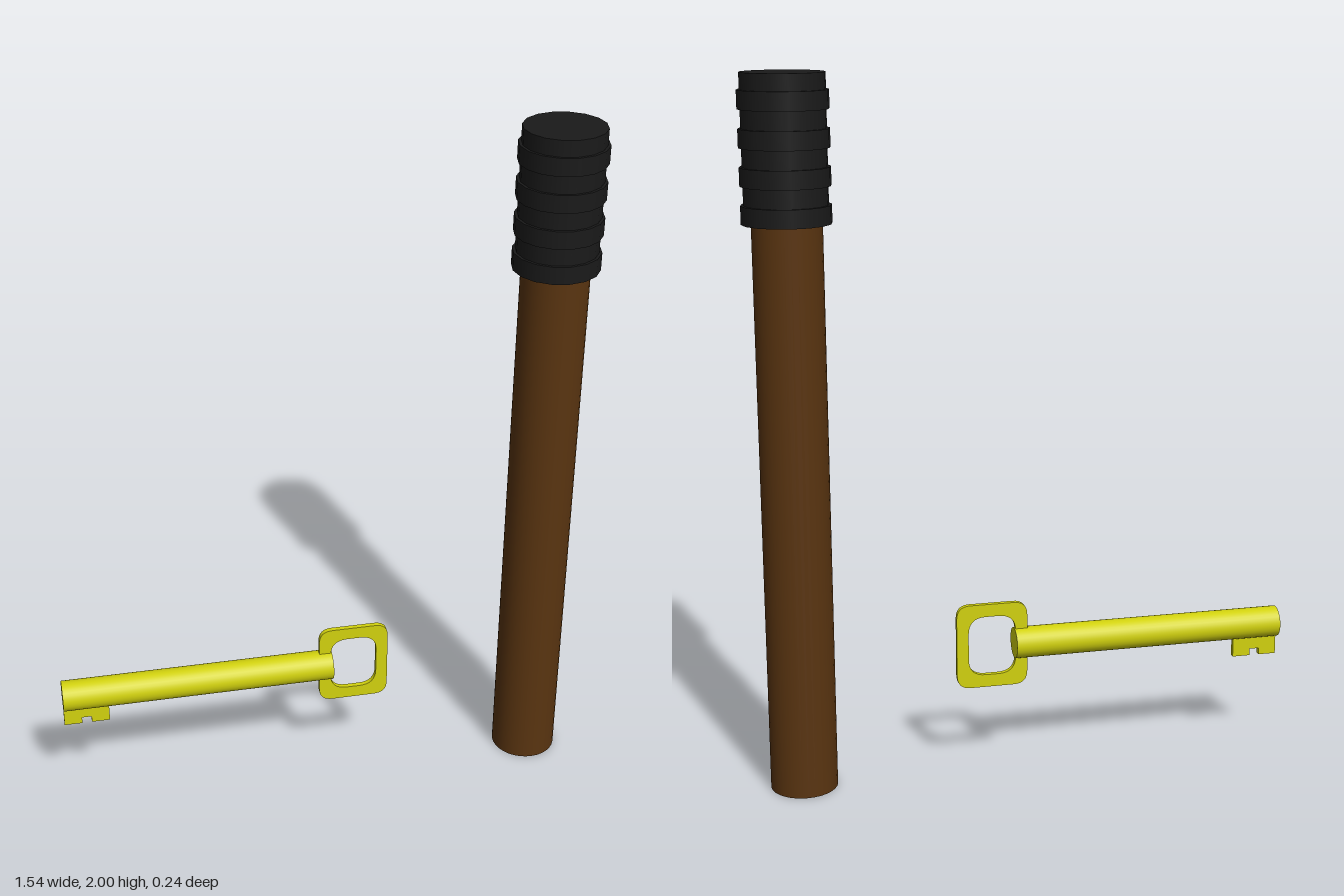
import * as THREE from 'three';

const brown = new THREE.MeshStandardMaterial({ color: 0x593410 });
const black = new THREE.MeshStandardMaterial({ color: 0x1a1a1a });
const yellow = new THREE.MeshStandardMaterial({ color: 0xd2d20e });

function add(parent, name, geometry, material, x = 0, y = 0, z = 0) {
  const mesh = new THREE.Mesh(geometry, material);
  mesh.name = name;
  mesh.position.set(x, y, z);
  parent.add(mesh);
  return mesh;
}

// Rounded rectangle outline centred on the origin
function roundedRect(Type, w, h, r) {
  const p = new Type();
  const x = w / 2, y = h / 2;
  p.moveTo(-x + r, -y);
  p.lineTo(x - r, -y);
  p.quadraticCurveTo(x, -y, x, -y + r);
  p.lineTo(x, y - r);
  p.quadraticCurveTo(x, y, x - r, y);
  p.lineTo(-x + r, y);
  p.quadraticCurveTo(-x, y, -x, y - r);
  p.lineTo(-x, -y + r);
  p.quadraticCurveTo(-x, -y, -x + r, -y);
  return p;
}

// Flat plate centred on z = 0
function plate(shape, depth) {
  return new THREE.ExtrudeGeometry(shape, { depth, bevelEnabled: false, curveSegments: 8 })
    .translate(0, 0, -depth / 2);
}

function createBaton() {
  const baton = new THREE.Group();
  baton.name = 'baton';
  baton.position.x = 0.645;
  add(baton, 'stick', new THREE.CylinderGeometry(0.095, 0.095, 1.64, 32), brown, 0, 0.82);
  add(baton, 'grip', new THREE.CylinderGeometry(0.113, 0.113, 0.394, 16), black, 0, 1.803);
  // Raised rings around the grip
  for (let i = 0; i < 4; i++) {
    add(baton, 'gripRing', new THREE.CylinderGeometry(0.121, 0.121, 0.05, 16), black, 0, 1.63 + i * 0.1);
  }
  return baton;
}

function createKey() {
  const key = new THREE.Group();
  key.name = 'key';
  key.position.y = 0.375;
  const shaft = add(key, 'keyShaft', new THREE.CylinderGeometry(0.045, 0.045, 0.8, 32), yellow, -0.37);
  shaft.rotation.z = Math.PI / 2;

  // Handle frame with a rounded window
  const bow = roundedRect(THREE.Shape, 0.207, 0.25, 0.04);
  bow.holes.push(roundedRect(THREE.Path, 0.138, 0.176, 0.05));
  add(key, 'keyBow', plate(bow, 0.015), yellow, 0.096);

  // Notched bit below the tip of the shaft
  const bit = new THREE.Shape([
    [-0.77, -0.02], [-0.77, -0.1], [-0.718, -0.1], [-0.718, -0.08],
    [-0.69, -0.08], [-0.69, -0.1], [-0.637, -0.1], [-0.637, -0.02],
  ].map(([x, y]) => new THREE.Vector2(x, y)));
  add(key, 'keyBit', plate(bit, 0.015), yellow);
  return key;
}

export function createModel() {
  const model = new THREE.Group();
  model.name = 'batonAndKey';
  model.add(createBaton(), createKey());
  return model;
}
